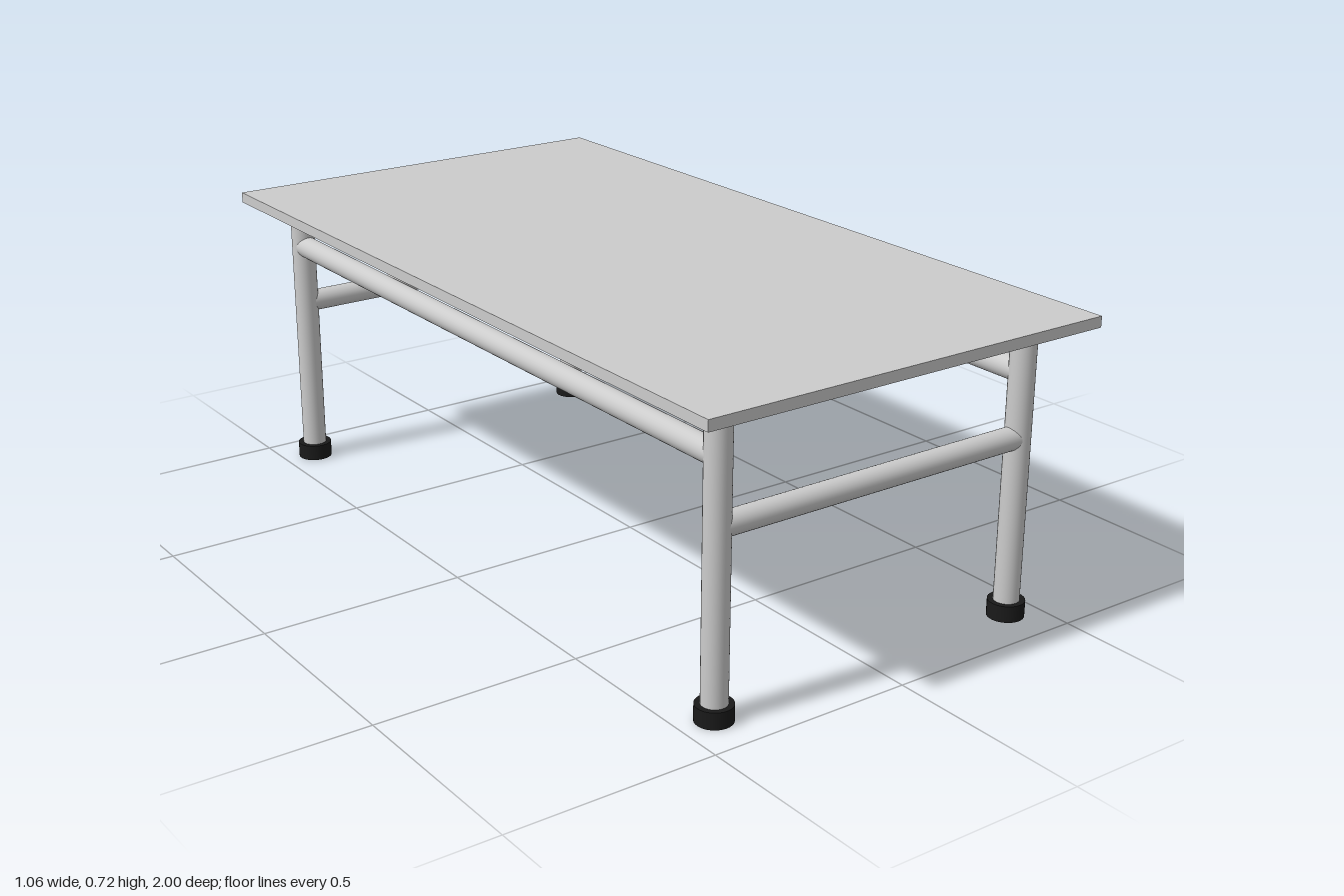
import * as THREE from 'three';

const LEG_X = 0.417, LEG_Z = 0.887, TOP_Y = 0.698;

export function createModel() {
  const table = new THREE.Group();
  table.name = 'table';
  const grey = new THREE.MeshStandardMaterial({ color: 0xcccccc });
  const black = new THREE.MeshStandardMaterial({ color: 0x1a1a1a });

  const add = (name, geometry, material, x, y, z) => {
    const mesh = new THREE.Mesh(geometry, material);
    mesh.name = name;
    mesh.position.set(x, y, z);
    table.add(mesh);
    return mesh;
  };
  const rod = (radius, length) => new THREE.CylinderGeometry(radius, radius, length, 32);

  // Thin flat top
  add('tabletop', new THREE.BoxGeometry(1.06, 0.026, 2), grey, 0, TOP_Y + 0.013, 0);

  // Four tubular legs in rubber feet
  const footHeight = 0.04;
  const legGeometry = rod(0.03, TOP_Y - 0.01);
  const footGeometry = rod(0.043, footHeight);
  for (const sx of [-1, 1]) {
    for (const sz of [-1, 1]) {
      const name = (sz > 0 ? 'front' : 'back') + (sx > 0 ? 'Left' : 'Right');
      add(name + 'Leg', legGeometry, grey, sx * LEG_X, (TOP_Y + 0.01) / 2, sz * LEG_Z);
      add(name + 'Foot', footGeometry, black, sx * LEG_X, footHeight / 2, sz * LEG_Z);
    }
  }

  // Low end rails and high side rails, running between leg axes
  const endRail = rod(0.0275, LEG_X * 2).rotateZ(Math.PI / 2);
  const sideRail = rod(0.0275, LEG_Z * 2).rotateX(Math.PI / 2);
  for (const s of [-1, 1]) {
    add(s > 0 ? 'frontRail' : 'backRail', endRail, grey, 0, 0.436, s * LEG_Z);
    add(s > 0 ? 'leftRail' : 'rightRail', sideRail, grey, s * LEG_X, 0.589, 0);
  }
  return table;
}
